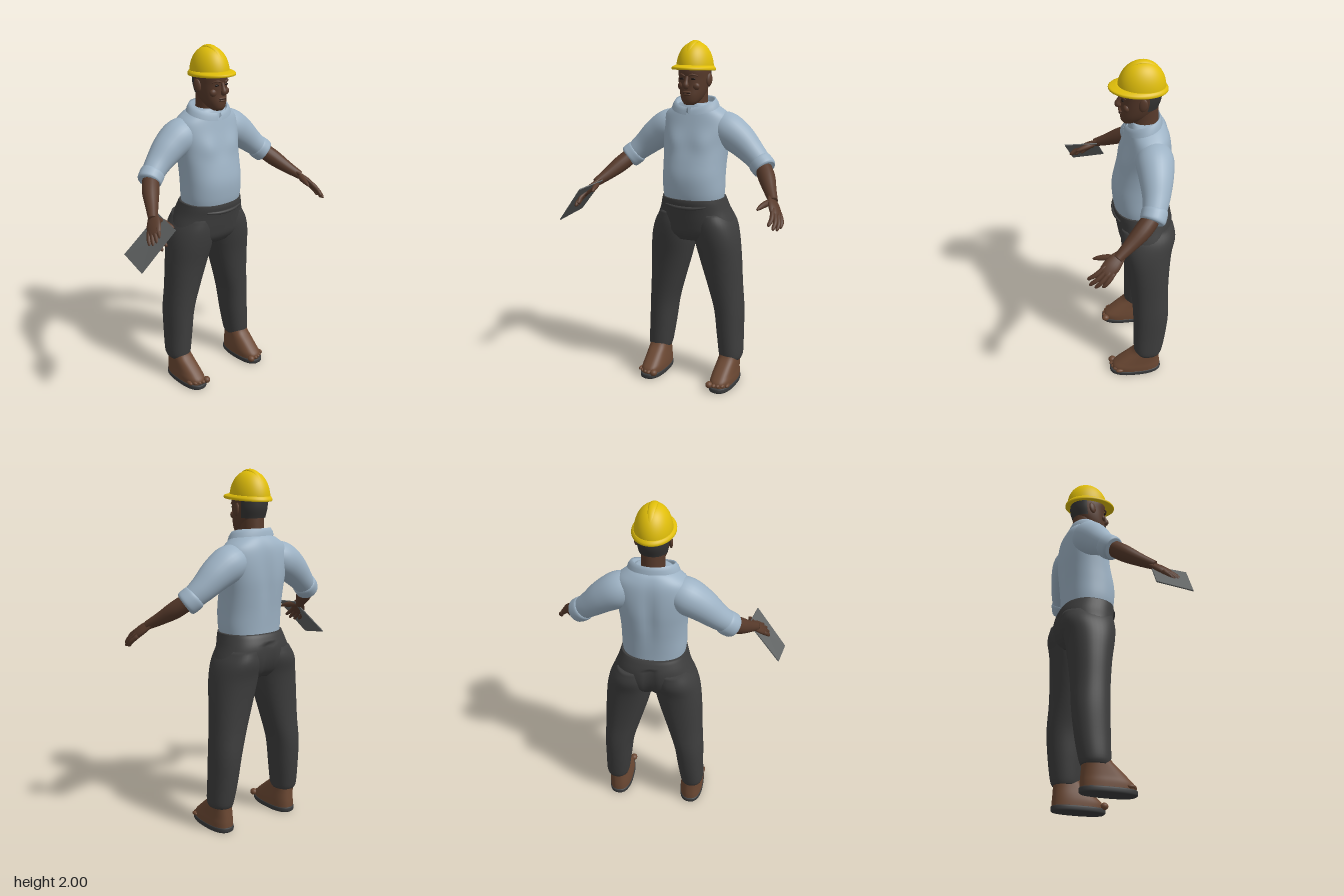
import * as THREE from 'three';

const mat = (name, color) => {
  const m = new THREE.MeshStandardMaterial({ color, side: THREE.DoubleSide });
  m.name = name;
  return m;
};

// Skin a list of point rings; closed joins the ring ends, cap pinches both openings shut
function skin(rings, closed = true, cap = true) {
  const n = rings[0].length;
  if (cap) {
    const mid = r => {
      const c = r.reduce((a, p) => a.add(p), new THREE.Vector3()).divideScalar(n);
      return r.map(() => c.clone());
    };
    rings = [mid(rings[0]), ...rings, mid(rings[rings.length - 1])];
  }
  const pos = [], idx = [];
  rings.forEach(r => r.forEach(p => pos.push(p.x, p.y, p.z)));
  for (let i = 0; i < rings.length - 1; i++) {
    for (let j = 0; j < (closed ? n : n - 1); j++) {
      const k = (j + 1) % n, a = i * n + j, b = i * n + k, c = b + n, d = a + n;
      idx.push(a, b, c, a, c, d);
    }
  }
  const g = new THREE.BufferGeometry();
  g.setAttribute('position', new THREE.Float32BufferAttribute(pos, 3));
  g.setIndex(idx);
  g.computeVertexNormals();
  return g;
}

// Smoothly resample a table of rows
function smooth(rows, steps) {
  const w = rows[0].length;
  const curve = new THREE.CubicInterpolant(rows.map((_, i) => i), rows.flat(), w, new Float32Array(w));
  return Array.from({ length: steps + 1 }, (_, i) => Array.from(curve.evaluate(i / steps * (rows.length - 1))));
}

// Upright form from rows [y, centre x, half width, front z, back z], bottom to top
function loft(rows, { steps = 24, n = 40, p = 2, from = 0, arc = Math.PI * 2, warp } = {}) {
  const closed = arc > 6.28;
  const rings = smooth(rows, steps).map(([y, cx, rx, zf, zb]) =>
    Array.from({ length: closed ? n : n + 1 }, (_, j) => {
      const a = from + arc * j / n, s = Math.sin(a), c = Math.cos(a);
      const e = v => Math.sign(v) * Math.abs(v) ** (2 / p);
      const v = new THREE.Vector3(cx + rx * e(s), y, (zf + zb) / 2 + (zf - zb) / 2 * e(c));
      if (warp) warp(v);
      return v;
    }));
  return skin(rings, closed, closed);
}

// Limb along rows [x, y, z, radius]; flat squeezes it across the thin direction
function limb(rows, side = 1, { steps = 16, n = 18, flat = 1, wide = [0, 0, 1] } = {}) {
  const pts = smooth(rows, steps).map(([x, y, z, r]) => ({ p: new THREE.Vector3(x * side, y, z), r }));
  const rings = pts.map(({ p, r }, i) => {
    const t = pts[Math.min(i + 1, steps)].p.clone().sub(pts[Math.max(i - 1, 0)].p).normalize();
    const v = new THREE.Vector3(wide[0] * side, wide[1], wide[2]);
    v.addScaledVector(t, -v.dot(t)).normalize();
    const u = new THREE.Vector3().crossVectors(t, v);
    return Array.from({ length: n }, (_, j) => {
      const a = j / n * Math.PI * 2;
      return p.clone().addScaledVector(u, Math.sin(a) * r * flat).addScaledVector(v, Math.cos(a) * r);
    });
  });
  return skin(rings);
}

export function createModel() {
  const model = new THREE.Group();
  const body = new THREE.Group();
  body.name = 'worker';
  body.position.x = 0.042;
  model.add(body);

  const shirt = mat('shirt blue', 0x9db2c4), trousers = mat('trouser charcoal', 0x3d3d3d);
  const brown = mat('skin', 0x573a2b), footBrown = mat('foot brown', 0x6b4833);
  const yellow = mat('helmet yellow', 0xe0be0a), hairGrey = mat('hair grey', 0x353433);
  const soleGrey = mat('sole grey', 0x3a3b3c), boardGrey = mat('board grey', 0x626565);
  const eyeDark = mat('eye dark', 0x1e1512);

  const add = (name, geo, material, parent = body) => {
    const m = new THREE.Mesh(geo, material);
    m.name = name;
    parent.add(m);
    return m;
  };
  const ball = (name, material, x, y, z, rx, ry, rz) => {
    const m = add(name, new THREE.SphereGeometry(1, 20, 14), material);
    m.position.set(x, y, z);
    m.scale.set(rx, ry, rz);
    return m;
  };

  // Shirt body, with chest swell and a groove down the spine
  add('shirtBody', loft([
    [1.09, 0, 0.17, 0.04, -0.235], [1.16, 0, 0.179, 0.054, -0.238], [1.25, 0, 0.18, 0.058, -0.245],
    [1.34, 0, 0.183, 0.04, -0.254], [1.43, 0, 0.192, 0.012, -0.26], [1.52, 0, 0.205, -0.008, -0.256],
    [1.59, 0, 0.19, -0.025, -0.245], [1.635, 0, 0.135, -0.038, -0.225], [1.66, 0, 0.085, -0.05, -0.2],
  ], {
    steps: 40, n: 64, p: 2.3, warp: v => {
      const gauss = (x, y, w, h) => Math.exp(-(((v.x - x) / w) ** 2) - ((v.y - y) / h) ** 2);
      if (v.z > -0.1) v.z += 0.014 * (gauss(0.085, 1.45, 0.06, 0.06) + gauss(-0.085, 1.45, 0.06, 0.06));
      else v.z += 0.014 * gauss(0, 1.42, 0.035, 0.16);
    },
  }), shirt);

  // Folded collar, open at the throat and lower in front
  const collar = [[1.65, 0.14, 0.102], [1.672, 0.132, 0.098], [1.692, 0.118, 0.09], [1.685, 0.108, 0.084], [1.64, 0.09, 0.075]];
  add('collar', skin(collar.map(([y, rx, rz]) => Array.from({ length: 41 }, (_, j) => {
    const a = 0.1 + (Math.PI * 2 - 0.2) * j / 40;
    const front = (1 + Math.cos(a)) / 2;
    return new THREE.Vector3(rx * Math.sin(a), y - 0.052 * front * front, -0.107 + rz * Math.cos(a));
  })), false, false), shirt);

  // Trouser seat and waist
  add('trouserSeat', loft([
    [0.875, 0, 0.17, -0.01, -0.22], [0.92, 0, 0.245, 0.02, -0.255], [0.98, 0, 0.235, 0.033, -0.275],
    [1.05, 0, 0.207, 0.044, -0.276], [1.1, 0, 0.191, 0.053, -0.26], [1.125, 0, 0.184, 0.052, -0.246],
  ], { p: 2.3, n: 56, warp: v => { if (v.z < -0.1 && v.y < 1.07) v.z += 0.02 * Math.exp(-((v.x / 0.025) ** 2)); } }), trousers);
  add('waistFold', limb([[-0.125, 1.088, 0.03, 0.004], [-0.06, 1.08, 0.047, 0.009], [0, 1.078, 0.052, 0.01],
    [0.06, 1.08, 0.047, 0.009], [0.125, 1.088, 0.03, 0.004]], 1, { wide: [0, 1, 0] }), trousers);

  for (const s of [1, -1]) {
    const name = part => (s > 0 ? 'left' : 'right') + part;

    // Trouser leg
    add(name('TrouserLeg'), loft([
      [0.145, s * 0.232, 0.062, -0.05, -0.2], [0.18, s * 0.232, 0.07, -0.042, -0.212], [0.3, s * 0.222, 0.077, -0.04, -0.232],
      [0.45, s * 0.21, 0.086, -0.038, -0.246], [0.6, s * 0.184, 0.103, -0.028, -0.244], [0.75, s * 0.158, 0.122, -0.01, -0.25],
      [0.88, s * 0.136, 0.131, 0.015, -0.263], [0.97, s * 0.122, 0.12, 0.025, -0.283], [1.04, s * 0.11, 0.09, 0.02, -0.272],
    ], { steps: 36, p: 2.2 }), trousers);

    // Foot, toes and sole
    add(name('Foot'), loft([
      [0.02, s * 0.226, 0.067, 0.095, -0.2], [0.055, s * 0.226, 0.067, 0.09, -0.2], [0.085, s * 0.226, 0.064, 0.06, -0.198],
      [0.125, s * 0.228, 0.06, 0.012, -0.195], [0.165, s * 0.23, 0.057, -0.035, -0.193], [0.21, s * 0.232, 0.052, -0.06, -0.19],
    ], { p: 2.5 }), footBrown);
    for (let i = 0; i < 5; i++) {
      const r = i ? 0.014 - i * 0.0006 : 0.021;
      ball(name('Toe'), footBrown, s * (0.182 + (i ? 0.008 + i * 0.0235 : 0)), 0.042, 0.088 - i * i * 0.0022, r, r * 0.95, 0.023);
    }
    add(name('Sole'), loft([
      [0, s * 0.226, 0.066, 0.1, -0.2], [0.008, s * 0.226, 0.07, 0.107, -0.206], [0.026, s * 0.226, 0.07, 0.107, -0.206],
      [0.03, s * 0.226, 0.066, 0.1, -0.2],
    ], { p: 2.5, steps: 9 }), soleGrey);

    // Sleeve with rolled cuff
    add(name('Sleeve'), limb([[0.08, 1.535, -0.14, 0.075], [0.17, 1.512, -0.145, 0.1], [0.255, 1.462, -0.142, 0.091],
      [0.34, 1.39, -0.13, 0.072], [0.415, 1.325, -0.105, 0.058]], s, { steps: 24, n: 28 }), shirt);
    add(name('Cuff'), limb([[0.378, 1.355, -0.12, 0.06], [0.386, 1.348, -0.117, 0.068], [0.405, 1.332, -0.109, 0.069],
      [0.423, 1.317, -0.1, 0.067], [0.43, 1.311, -0.096, 0.058]], s, { n: 28 }), shirt);

    // Forearm and hand
    add(name('Forearm'), limb([[0.4, 1.34, -0.115, 0.045], [0.455, 1.28, -0.045, 0.047], [0.5, 1.23, 0.025, 0.036],
      [0.535, 1.195, 0.08, 0.027], [0.545, 1.185, 0.095, 0.025]], s), brown);
    const wide = [-0.4, 0.35, 0.85];
    add(name('Palm'), limb([[0.525, 1.205, 0.065, 0.024], [0.545, 1.18, 0.1, 0.038], [0.565, 1.155, 0.13, 0.044],
      [0.582, 1.13, 0.16, 0.038], [0.588, 1.122, 0.17, 0.022]], s, { flat: 0.42, wide }), brown);
    const fingers = [
      ['Index', [0.564, 1.152, 0.165], [0.575, 1.09, 0.252]], ['Middle', [0.577, 1.14, 0.158], [0.598, 1.07, 0.245]],
      ['Ring', [0.587, 1.13, 0.145], [0.612, 1.062, 0.218]], ['Little', [0.592, 1.124, 0.125], [0.618, 1.066, 0.18]],
    ];
    for (const [label, a, b] of fingers) {
      const at = (t, r) => [0, 1, 2].map(k => a[k] + (b[k] - a[k]) * t).concat(r);
      const bent = at(0.5, 0.0125);
      bent[0] += 0.008;
      add(name(label + 'Finger'), limb([at(-0.1, 0.013), bent, at(0.9, 0.0095), at(1, 0.004)], s, { n: 10, steps: 9 }), brown);
    }
    add(name('Thumb'), limb([[0.54, 1.185, 0.09, 0.016], [0.518, 1.178, 0.145, 0.017], [0.505, 1.168, 0.19, 0.012],
      [0.498, 1.16, 0.215, 0.005]], s, { n: 12, wide: [1, 0, 0] }), brown);

    // Ear, eye and brow
    const ear = ball(name('Ear'), brown, s * 0.088, 1.79, -0.095, 0.011, 0.036, 0.023);
    ear.rotation.set(-0.2, s * -0.3, 0);
    ball(name('Eye'), eyeDark, s * 0.033, 1.798, 0.004, 0.014, 0.006, 0.006);
    add(name('Brow'), limb([[0.012, 1.815, 0.018, 0.004], [0.033, 1.822, 0.013, 0.006], [0.058, 1.815, -0.008, 0.003]], s,
      { n: 8, steps: 8, wide: [0, 1, 0] }), brown);
    ball(name('Cheek'), brown, s * 0.042, 1.757, -0.014, 0.024, 0.022, 0.018);
  }

  // Neck and head
  add('neck', loft([[1.6, 0, 0.07, -0.045, -0.195], [1.67, 0, 0.063, -0.045, -0.19], [1.76, 0, 0.064, -0.04, -0.185]]), brown);
  const head = [
    [1.655, 0, 0.028, -0.002, -0.055], [1.672, 0, 0.046, 0.01, -0.1], [1.705, 0, 0.064, 0.014, -0.15], [1.75, 0, 0.076, 0.01, -0.182],
    [1.8, 0, 0.082, 0.01, -0.197], [1.85, 0, 0.084, 0.014, -0.2], [1.9, 0, 0.075, -0.01, -0.18],
  ];
  add('head', loft(head, { p: 2.2 }), brown);
  add('nose', limb([[0, 1.812, 0.01, 0.008], [0, 1.785, 0.02, 0.011], [0, 1.763, 0.026, 0.017], [0, 1.75, 0.014, 0.012]], 1,
    { wide: [1, 0, 0] }), brown);
  ball('upperLip', brown, 0, 1.726, 0.012, 0.027, 0.007, 0.011);
  ball('lowerLip', brown, 0, 1.713, 0.012, 0.023, 0.008, 0.01);
  add('mouthLine', new THREE.BoxGeometry(0.04, 0.002, 0.008), eyeDark).position.set(0, 1.7195, 0.016);

  // Cropped hair round the back of the head
  add('hair', loft([[1.745, 0, 0.079, 0.01, -0.186], [1.8, 0, 0.086, 0.012, -0.202], [1.87, 0, 0.087, 0.012, -0.202]],
    { p: 2.2, from: 1.85, arc: Math.PI * 2 - 3.7 }), hairGrey);

  // Safety helmet: dome, crown ridge and peaked brim
  const dome = Array.from({ length: 13 }, (_, i) => {
    const a = i / 12 * 1.53, c = Math.cos(a);
    return [1.848 + 0.146 * Math.sin(a), 0, 0.1 * c ** 0.9, -0.098 + 0.126 * c ** 0.9, -0.098 - 0.126 * c ** 0.9];
  });
  add('helmetDome', loft(dome, { n: 48 }), yellow);
  const ridge = Array.from({ length: 13 }, (_, i) => {
    const a = 0.35 + i / 12 * 2.44;
    return [0, 1.848 + 0.144 * Math.sin(a), -0.098 + 0.122 * Math.cos(a), 0.004 + 0.018 * Math.sin((a - 0.35) / 2.44 * Math.PI)];
  });
  add('helmetRidge', limb(ridge, 1, { steps: 36, flat: 0.45, wide: [1, 0, 0] }), yellow);
  add('helmetBrim', loft([
    [1.842, 0, 0.1, 0.04, -0.222], [1.84, 0, 0.113, 0.07, -0.234], [1.848, 0, 0.115, 0.075, -0.236],
    [1.856, 0, 0.112, 0.068, -0.233], [1.866, 0, 0.1, 0.03, -0.225],
  ], { n: 48, steps: 16, warp: v => { v.y += 0.06 * (v.z + 0.1); } }), yellow);

  // Thin board held in the right hand, as a four-cornered plate
  const corner = (x, y, z) => new THREE.Vector3(x - 0.042, y, z);
  const edge = [corner(-0.645, 1.0, 0.032), corner(-0.673, 0.97, 0.226), corner(-0.495, 1.18, 0.283), corner(-0.46, 1.2, 0.09)];
  const lift = new THREE.Vector3(-0.7, 0.7, 0).multiplyScalar(0.006);
  const plate = skin([edge, edge.map(p => p.clone().add(lift))]).toNonIndexed();
  plate.computeVertexNormals();
  add('board', plate, boardGrey);

  return model;
}
